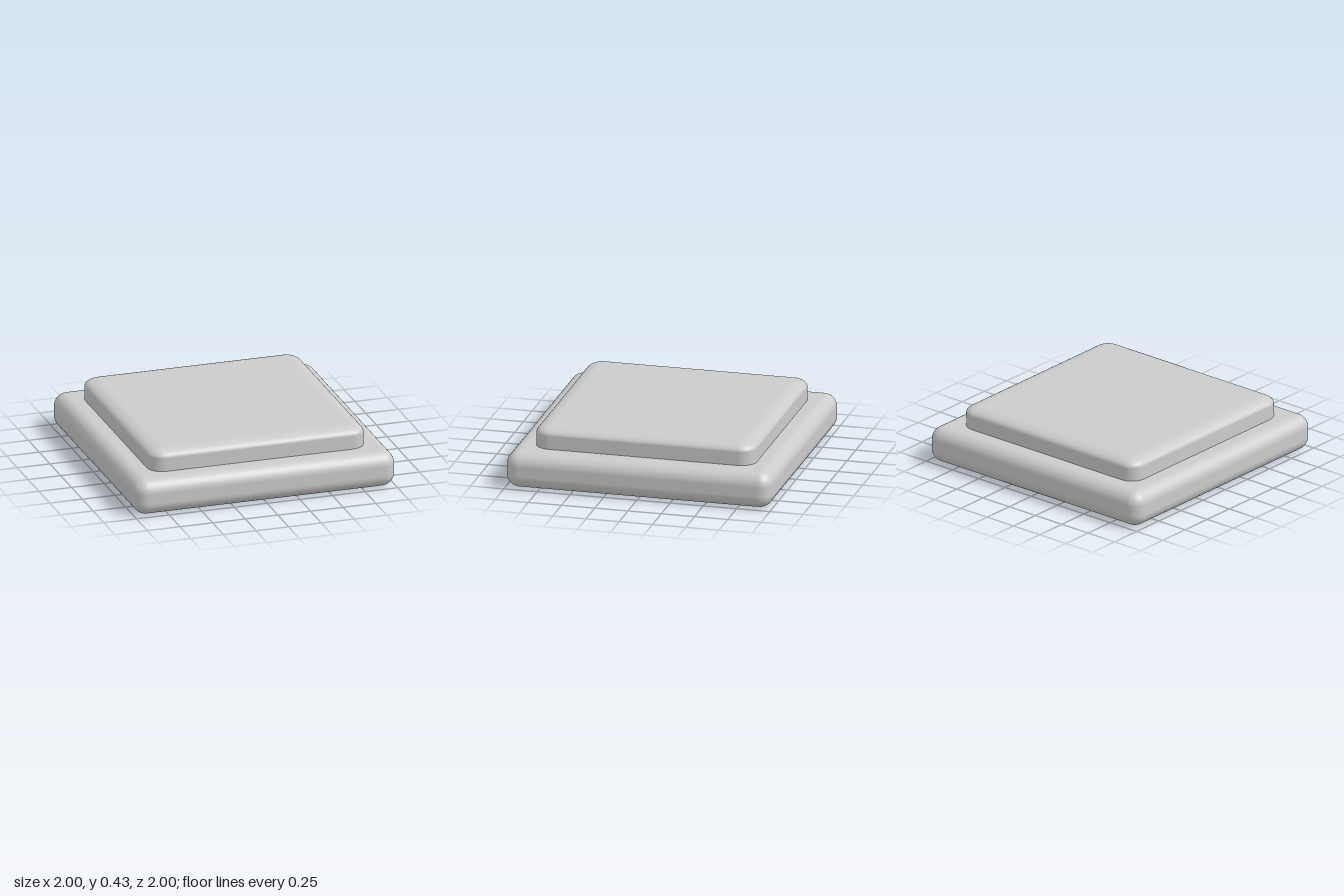
import * as THREE from 'three';
import { RoundedBoxGeometry } from 'three/addons/geometries/RoundedBoxGeometry.js';

const material = new THREE.MeshStandardMaterial({ color: 0xcccccc });

// Square slab with rounded edges; ry is the vertical edge radius, r the horizontal one
function slab(name, width, bottom, top, r, ry) {
  const squash = ry / r;
  const geometry = new RoundedBoxGeometry(width, (top - bottom) / squash, width, 5, r);
  geometry.scale(1, squash, 1);
  const mesh = new THREE.Mesh(geometry, material);
  mesh.name = name;
  mesh.position.y = (bottom + top) / 2;
  return mesh;
}

export function createModel() {
  const group = new THREE.Group();
  group.name = 'steppedPlate';
  // Wide lower slab
  group.add(slab('base', 2, 0, 0.272, 0.1, 0.1));
  // Smaller upper slab with a flatter edge, sunk into the base
  group.add(slab('upperPlate', 1.654, 0.19, 0.43, 0.115, 0.058));
  return group;
}
